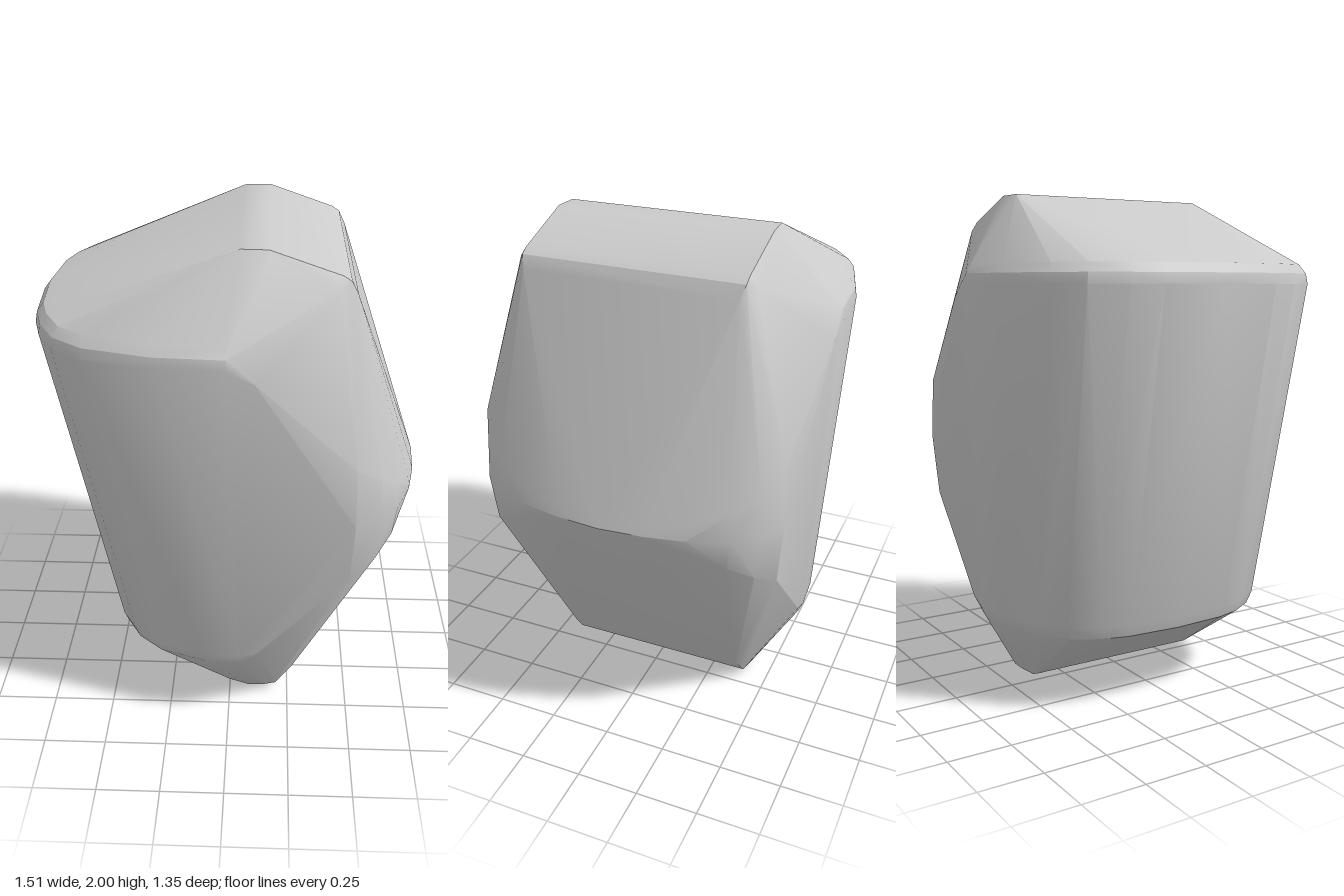
import * as THREE from 'three';
import { ConvexGeometry } from 'three/addons/geometries/ConvexGeometry.js';
import { toCreasedNormals } from 'three/addons/utils/BufferGeometryUtils.js';

// A faceted boulder: the convex skin around a few softened rims, mirrored in z.
export function createModel() {
  const points = [];
  const add = (x, y, z) => {
    points.push(new THREE.Vector3(x, y, z));
    if (z > 0) points.push(new THREE.Vector3(x, y, -z));
  };

  // upper shoulder, [x, z], as a softened double rim
  const shoulder = [[-0.755, 0], [-0.735, 0.25], [-0.7, 0.37], [-0.63, 0.5],
    [-0.51, 0.59], [-0.26, 0.66], [0, 0.675]];
  for (const [x, z] of shoulder) {
    add(x, 1.65, z);
    add(x * 0.99, 1.69, z * 0.99);
    add(x * 0.955, 1.725, z * 0.955);
  }
  add(0.1, 1.6, 0.672);

  // lower shoulder, [x, z]
  const foot = [[-0.5, 0], [-0.485, 0.23], [-0.455, 0.34], [-0.39, 0.45],
    [-0.29, 0.535], [-0.1, 0.6], [0.05, 0.612]];
  for (const [x, z] of foot) {
    add(x, 0.35, z);
    add(x * 0.965, 0.3, z * 0.965);
  }
  add(0.12, 0.37, 0.608);

  // bulging edge on the model's left, [x, z, upper y, lower y]
  const belt = [[0.755, 0, 1.03, 0.96], [0.74, 0.18, 1.04, 0.96], [0.71, 0.33, 1.06, 0.94],
    [0.65, 0.48, 1.11, 0.87], [0.58, 0.57, 1.17, 0.81], [0.48, 0.63, 1.24, 0.75]];
  for (const [x, z, upper, lower] of belt) {
    add(x, 1, z);
    add(x * 0.985, upper, z * 0.99);
    add(x * 0.98, lower, z * 0.965);
  }

  // crown and base ridges, [x, y, half depth]
  const ridges = [[0.04, 2, 0.43], [0.14, 2, 0.435], [0.4, 1.91, 0.435], [0.43, 1.89, 0.435], [0.455, 1.84, 0.42],
    [0, 0.025, 0.38], [0.06, 0, 0.37], [0.13, 0, 0.37], [0.2, 0.03, 0.4], [0.27, 0.12, 0.39]];
  for (const [x, y, z] of ridges) add(x, y, z);
  for (const x of [0.08, 0.14]) {
    add(x, 1.97, 0.455);
    add(x, 0.03, 0.415);
  }
  add(0.39, 1.87, 0.465);
  add(0.22, 0.12, 0.425);

  const rock = new THREE.Mesh(
    toCreasedNormals(new ConvexGeometry(points), 0.42),
    new THREE.MeshStandardMaterial({ color: 0xcccccc }),
  );
  rock.name = 'rock';
  const group = new THREE.Group();
  group.name = 'boulder';
  group.add(rock);
  return group;
}
